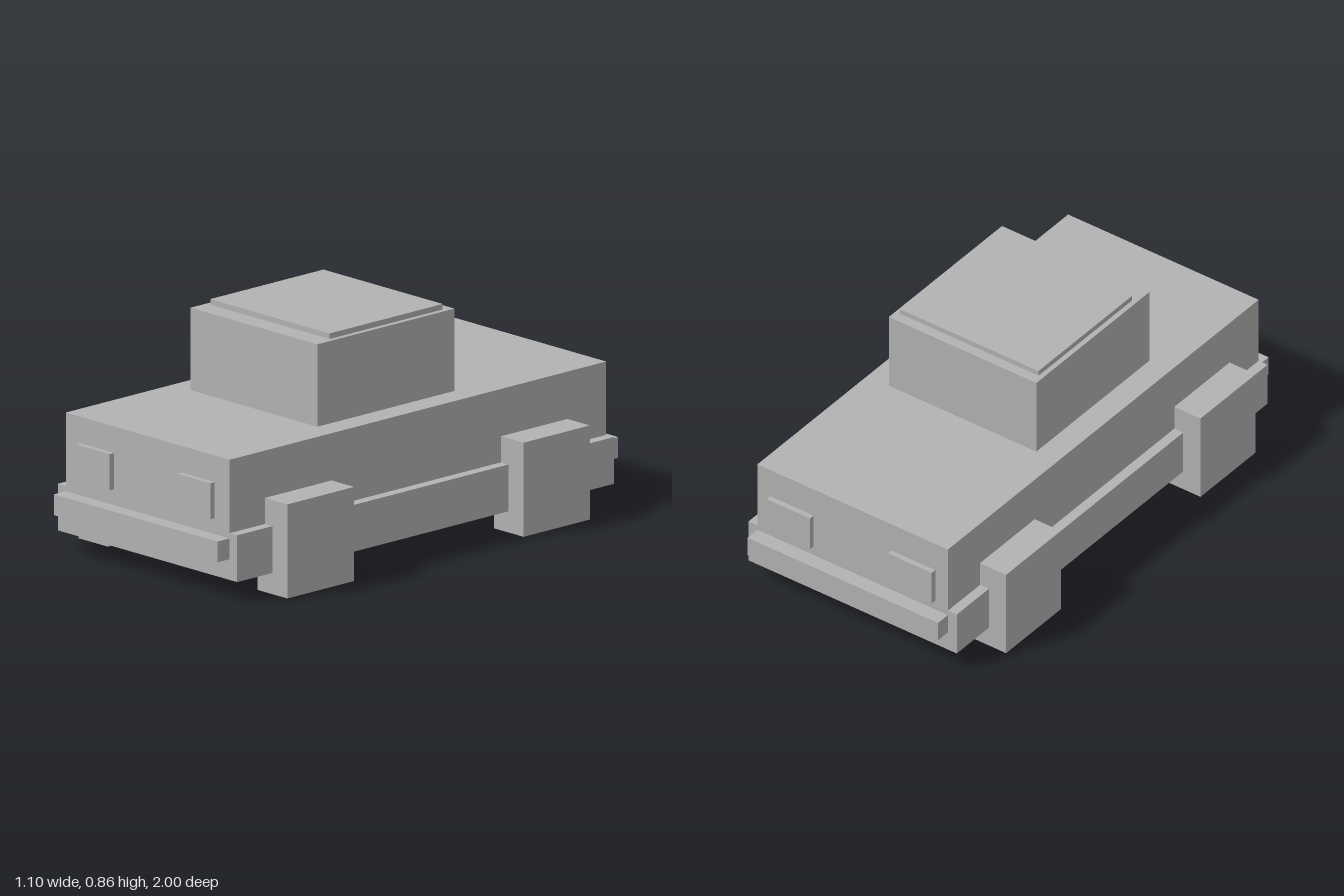
import * as THREE from 'three';

export function createModel() {
  const car = new THREE.Group();
  car.name = 'boxyCar';
  const grey = new THREE.MeshStandardMaterial({ color: 0xb2b2b2 });
  grey.name = 'plain grey';

  // Adds a box given its extents along each axis
  function box(name, [x0, x1], [y0, y1], [z0, z1]) {
    const mesh = new THREE.Mesh(new THREE.BoxGeometry(x1 - x0, y1 - y0, z1 - z0), grey);
    mesh.position.set((x0 + x1) / 2, (y0 + y1) / 2, (z0 + z1) / 2);
    mesh.name = name;
    car.add(mesh);
  }

  // Adds a left box and its mirror image on the right
  function pair(name, [x0, x1], y, z) {
    box(name + 'Left', [x0, x1], y, z);
    box(name + 'Right', [-x1, -x0], y, z);
  }

  // Body shell
  box('chassis', [-0.47, 0.47], [0.08, 0.256], [-0.94, 0.94]);
  box('body', [-0.43, 0.43], [0.256, 0.532], [-0.94, 0.94]);
  box('cabin', [-0.333, 0.333], [0.532, 0.842], [-0.275, 0.41]);
  box('roof', [-0.313, 0.313], [0.842, 0.863], [-0.235, 0.33]);

  // Bumpers
  box('frontBumper', [-0.43, 0.43], [0.158, 0.236], [0.94, 1]);
  box('rearBumper', [-0.43, 0.43], [0.158, 0.236], [-1, -0.94]);

  // Lights
  pair('headlight', [0.176, 0.352], [0.296, 0.432], [0.94, 0.962]);
  pair('tailLight', [0.176, 0.373], [0.276, 0.414], [-0.962, -0.94]);

  // Block wheels
  pair('frontWheel', [0.392, 0.548], [0, 0.354], [0.43, 0.764]);
  pair('rearWheel', [0.392, 0.548], [0, 0.354], [-0.746, -0.415]);

  return car;
}
